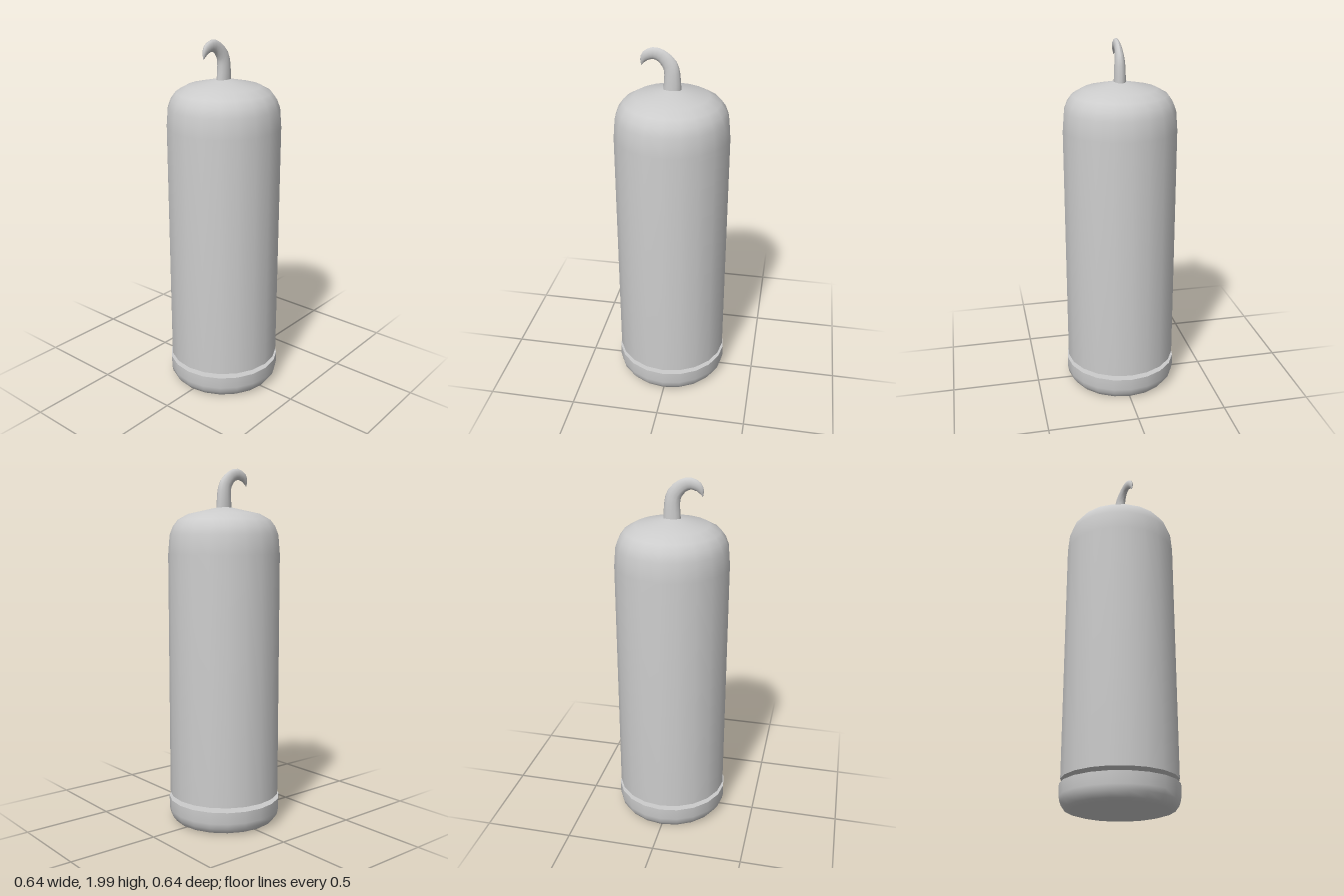
import * as THREE from 'three';
import { toCreasedNormals } from 'three/addons/utils/BufferGeometryUtils.js';

const SIDES = 20;

export function createModel() {
  const group = new THREE.Group();
  const material = new THREE.MeshStandardMaterial({ color: 0xcccccc });

  const add = (name, geometry) => {
    const mesh = new THREE.Mesh(toCreasedNormals(geometry, 0.8), material);
    mesh.name = name;
    group.add(mesh);
  };
  // Profile points are [radius, height], from bottom to top
  const lathe = (points) =>
    new THREE.LatheGeometry(points.map(([r, y]) => new THREE.Vector2(r, y)), SIDES);

  // Rounded foot with a flat lid
  add('base', lathe([
    [0, 0.005], [0.255, 0.005], [0.29, 0.015], [0.312, 0.045], [0.318, 0.075], [0.318, 0.14], [0, 0.14],
  ]));

  // Narrow joint in the gap between base and body
  add('neck', lathe([[0.157, 0.13], [0.157, 0.175]]));

  // Tall body with a domed shoulder and shallow conical top
  add('body', lathe([
    [0, 0.165], [0.312, 0.165], [0.312, 1.53], [0.303, 1.635], [0.286, 1.68],
    [0.258, 1.718], [0.2, 1.75], [0.04, 1.785], [0, 1.788],
  ]));

  // Curved hook: rings of [x, y, half width in the bend plane, half depth]
  add('hook', sweep([
    [0.001, 1.77, 0.048, 0.033], [0.001, 1.865, 0.042, 0.03], [-0.011, 1.912, 0.04, 0.025],
    [-0.055, 1.957, 0.034, 0.018], [-0.098, 1.969, 0.031, 0.017], [-0.135, 1.954, 0.026, 0.015],
    [-0.152, 1.93, 0.015, 0.009], [-0.16, 1.905, 0.001, 0.001],
  ], 12));

  return group;
}

// Elliptical rings perpendicular to a smooth path lying in the xy plane
function sweep(rings, sides) {
  const path = new THREE.CatmullRomCurve3(rings.map(([x, y]) => new THREE.Vector3(x, y, 0)));
  const steps = (rings.length - 1) * 2;
  const positions = [];
  const index = [];
  for (let i = 0; i <= steps; i++) {
    const t = i / steps;
    const a = Math.floor(i / 2);
    const b = Math.ceil(i / 2);
    const width = (rings[a][2] + rings[b][2]) / 2;
    const depth = (rings[a][3] + rings[b][3]) / 2;
    const p = path.getPoint(t);
    const d = path.getTangent(t);
    for (let j = 0; j < sides; j++) {
      const angle = (j / sides) * Math.PI * 2;
      const w = Math.cos(angle) * width;
      positions.push(p.x + d.y * w, p.y - d.x * w, Math.sin(angle) * depth);
      if (i < steps) {
        const k = (j + 1) % sides;
        const q = i * sides;
        index.push(q + j, q + sides + j, q + k, q + k, q + sides + j, q + sides + k);
      }
    }
  }
  const geometry = new THREE.BufferGeometry();
  geometry.setAttribute('position', new THREE.Float32BufferAttribute(positions, 3));
  geometry.setIndex(index);
  return geometry;
}
